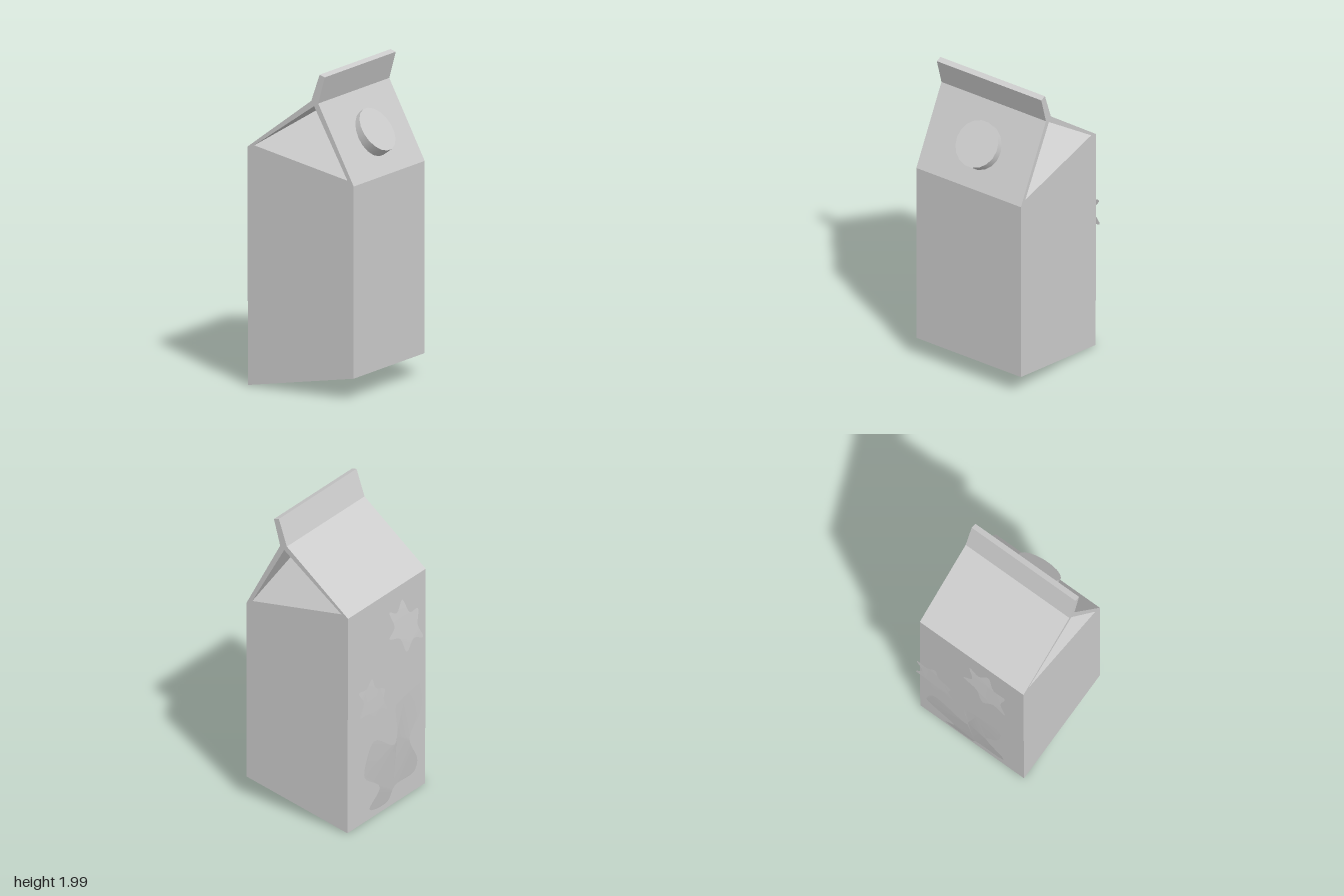
import * as THREE from 'three';

const DEPTH = 0.78, HALF = DEPTH / 2;

const toVectors = (pairs) => pairs.map(([a, b]) => new THREE.Vector2(a, b));

// Extrudes an x/y profile along z, centred on z = 0
function prism(profile, hole) {
  const shape = new THREE.Shape(toVectors(profile));
  if (hole) shape.holes.push(new THREE.Path(toVectors(hole)));
  const geometry = new THREE.ExtrudeGeometry(shape, { depth: DEPTH, bevelEnabled: false });
  return geometry.translate(0, 0, -HALF);
}

// Smooth closed outline filled as a flat sheet
function blob(pairs) {
  const curve = new THREE.CatmullRomCurve3(
    pairs.map(([a, b]) => new THREE.Vector3(a, b, 0)), true);
  const outline = curve.getPoints(pairs.length * 5).slice(0, -1);
  return new THREE.ShapeGeometry(
    new THREE.Shape(outline.map((p) => new THREE.Vector2(p.x, p.y))));
}

export function createModel() {
  const model = new THREE.Group();
  model.name = 'milkCarton';
  const card = new THREE.MeshStandardMaterial({ color: 0xcccccc, side: THREE.DoubleSide });
  card.name = 'lightGrey';

  const add = (name, geometry) => {
    const mesh = new THREE.Mesh(geometry, card);
    mesh.name = name;
    model.add(mesh);
    return mesh;
  };

  // Leaning carton with a triangular opening under the roof
  const gable = [[-0.3, 1.5], [0.37, 1.37], [0.13, 1.8]];
  add('body', prism([
    [-0.345, 0.01], [0.415, 0.15], [0.415, 1.34],
    [0.16, 1.82], [0.11, 1.83], [-0.35, 1.485],
  ], gable));

  // Gable panels folded inwards at the top
  for (const side of [1, -1]) {
    const tri = side > 0 ? gable : [gable[1], gable[0], gable[2]];
    const points = tri.map(([x, y], i) =>
      new THREE.Vector3(x, y, side * (i === 2 ? 0.1 : HALF)));
    const geometry = new THREE.BufferGeometry().setFromPoints(points);
    geometry.computeVertexNormals();
    add(side > 0 ? 'frontGable' : 'backGable', geometry);
  }

  // Sealed fin along the ridge
  add('topFin', prism([[0.11, 1.83], [0.16, 1.82], [0.207, 1.988], [0.17, 2.0]]));

  // Round screw cap on the roof slope
  const axis = new THREE.Vector3(0.804, 0.594, 0);
  const cap = add('cap', new THREE.CylinderGeometry(0.147, 0.147, 0.08, 18));
  cap.quaternion.setFromUnitVectors(new THREE.Vector3(0, 1, 0), axis);
  cap.position.set(0.331, 1.605, 0).addScaledVector(axis, -0.04);

  // Patches on the front and back walls, as x/y outlines
  const frontPatches = [
    [[-0.08, 1.315], [0, 1.265], [0.09, 1.295], [0.12, 1.18], [0.17, 1.09],
      [0.07, 1.125], [-0.06, 1.015], [-0.04, 1.08], [-0.17, 1.11], [-0.09, 1.16]],
    [[-0.17, 0.77], [0, 0.69], [0.125, 0.77], [0.27, 0.6], [0.09, 0.49],
      [0.32, 0.41], [0.27, 0.2], [0.14, 0.34], [-0.08, 0.5], [-0.3, 0.54]],
  ];
  const backPatches = [
    [[0.27, 1.035], [0.105, 1.135], [0.18, 1.26], [0.12, 1.305], [0, 1.335],
      [-0.04, 1.15], [-0.12, 1.16], [-0.18, 1.26], [-0.31, 1.27], [-0.33, 1.11],
      [-0.2, 1.07], [-0.02, 1.02], [0, 0.81], [0.12, 0.81], [0.16, 0.945]],
    [[0.09, 0.59], [0, 0.57], [-0.08, 0.57], [-0.17, 0.575], [-0.17, 0.445],
      [0, 0.4], [-0.11, 0.31], [-0.18, 0.25], [-0.09, 0.155], [0.07, 0.345],
      [0.21, 0.335], [0.21, 0.45], [0.135, 0.5]],
  ];
  frontPatches.forEach((p) => add('frontPatch', blob(p).translate(0, 0, HALF + 0.005)));
  // Back sheets are turned to face outwards
  backPatches.forEach((p) => add('backPatch',
    blob(p.map(([x, y]) => [-x, y])).rotateY(Math.PI).translate(0, 0, -HALF - 0.005)));

  // Patches bowing away from the right wall, as z/y outlines
  const sidePatches = [
    [[0.135, 1.39], [0.19, 1.285], [0.27, 1.28], [0.25, 1.18], [0.29, 1.08], [0.2, 1.11],
      [0.125, 1.05], [0.07, 1.16], [-0.03, 1.2], [0.03, 1.25], [0, 1.36], [0.07, 1.33]],
    [[-0.23, 1.02], [-0.2, 0.95], [-0.11, 0.9], [-0.125, 0.84], [-0.09, 0.76], [-0.17, 0.79],
      [-0.23, 0.73], [-0.27, 0.8], [-0.365, 0.81], [-0.32, 0.895], [-0.365, 0.98], [-0.29, 0.975]],
    [[0.26, 0.785], [0.24, 0.58], [0.15, 0.45], [0.26, 0.24], [0.24, 0.165], [0.05, 0.15],
      [0, 0.06], [-0.19, 0.09], [-0.11, 0.21], [-0.29, 0.365], [-0.29, 0.46], [-0.22, 0.59],
      [0, 0.47], [0.02, 0.54], [0, 0.745], [0.09, 0.77]],
  ];
  for (const outline of sidePatches) {
    const geometry = blob(outline).rotateY(-Math.PI / 2);
    const pos = geometry.attributes.position;
    for (let i = 0; i < pos.count; i++) {
      pos.setX(i, -0.42 + 0.06 * ((pos.getY(i) - 0.75) / 0.66) ** 2);
    }
    geometry.computeVertexNormals();
    add('sidePatch', geometry);
  }

  return model;
}
